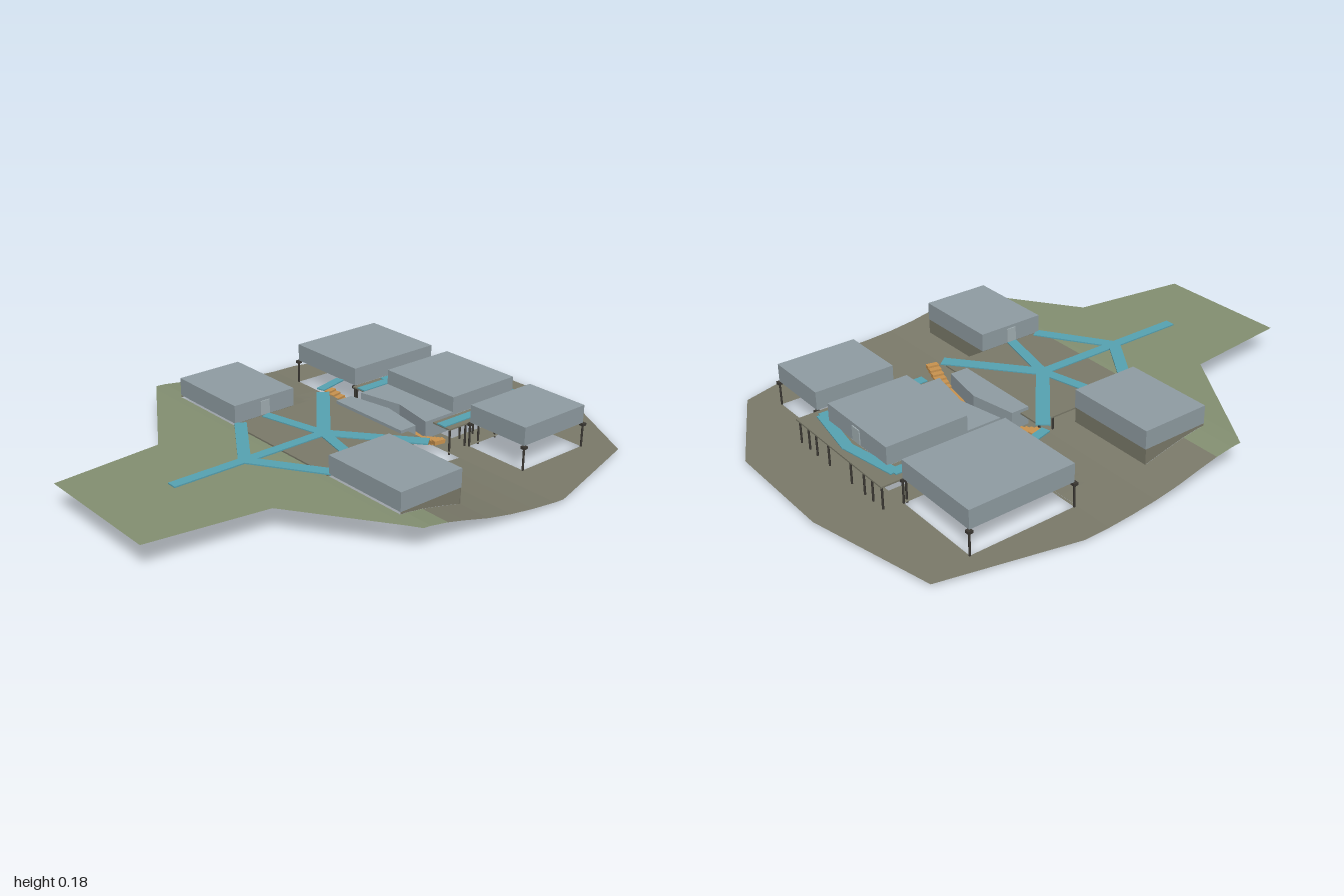
import * as THREE from 'three';

const mat = (name, color) => {
  const m = new THREE.MeshStandardMaterial({ color, side: THREE.DoubleSide });
  m.name = name;
  return m;
};

export function createModel() {
  const model = new THREE.Group();
  model.name = 'hillsideCampus';
  const M = {
    grass: mat('grass', 0x849072),
    earth: mat('earth', 0x7b7a6a),
    roof: mat('building grey', 0x909da3),
    path: mat('path teal', 0x57a3b3),
    stair: mat('stair orange', 0xc9934f),
    post: mat('post dark', 0x3b3833),
    door: mat('door grey', 0xa3b0b4),
  };
  const add = (name, geo, m, parent = model) => {
    const mesh = new THREE.Mesh(geo, m);
    mesh.name = name;
    parent.add(mesh);
    return mesh;
  };
  const group = (name) => {
    const g = new THREE.Group();
    g.name = name;
    model.add(g);
    return g;
  };
  // box given by its min and max on each axis
  const box = (name, x0, x1, y0, y1, z0, z1, m, parent) =>
    add(name, new THREE.BoxGeometry(x1 - x0, y1 - y0, z1 - z0), m, parent)
      .position.set((x0 + x1) / 2, (y0 + y1) / 2, (z0 + z1) / 2);
  // horizontal slab from [x, z] points, with optional rectangular hole
  const slab = (name, pts, y0, y1, m, hole) => {
    const v = (p) => new THREE.Vector2(p[0], -p[1]);
    const s = new THREE.Shape(pts.map(v));
    if (hole) s.holes.push(new THREE.Path(hole.map(v)));
    const g = new THREE.ExtrudeGeometry(s, { depth: y1 - y0, bevelEnabled: false });
    g.rotateX(-Math.PI / 2).translate(0, y0, 0);
    return add(name, g, m);
  };
  const rect = (x0, x1, z0, z1) => [[x0, z0], [x1, z0], [x1, z1], [x0, z1]];
  const lerpTable = (t, z) => {
    if (z <= t[0][0]) return t[0][1];
    for (let i = 1; i < t.length; i++) {
      const [a, p] = t[i - 1], [b, q] = t[i];
      if (z <= b) return p + (q - p) * (z - a) / (b - a);
    }
    return t[t.length - 1][1];
  };

  // ground: outline edges as [z, x], slope as [z, y]
  const west = [[-1, -0.18], [-0.89, -0.665], [-0.4, -0.78], [0.28, -0.78], [0.57, -0.31], [1, -0.27]];
  const east = [[-1, 0.27], [-0.8, 0.64], [-0.34, 0.775], [0.27, 0.73], [0.55, 0.33], [1, 0.265]];
  const slope = [[-0.4, 0.012], [-0.3, 0.013], [-0.2, 0.02], [-0.1, 0.031], [0, 0.048],
    [0.1, 0.072], [0.17, 0.087], [0.24, 0.097], [0.3, 0.1], [1, 0.102]];
  const height = (x, z) => lerpTable(slope, z)
    - 0.009 * Math.exp(-(((x + 0.39) / 0.07) ** 2) - ((z + 0.26) / 0.1) ** 2);
  // openings under the buildings and the stair court: x0, x1, z0, z1
  const holes = [
    [-0.625, -0.27, -0.72, -0.31], [0.27, 0.535, -0.715, -0.4], [-0.18, 0.18, -0.72, -0.4],
    [-0.32, 0.32, -0.3, -0.18], [-0.625, -0.27, 0, 0.265], [0.265, 0.62, 0, 0.265],
  ];
  const rows = [...new Set([...west, ...east, ...slope].map((p) => p[0])
    .concat(holes.flatMap((h) => [h[2], h[3]]), [-0.25, -0.15]))].sort((a, b) => a - b);
  const ground = (name, zMin, zMax, m) => {
    const pos = [];
    const P = (x, z) => [x, height(x, z), z];
    for (let i = 1; i < rows.length; i++) {
      const a = rows[i - 1], b = rows[i], mid = (a + b) / 2;
      if (mid < zMin || mid > zMax) continue;
      const cuts = holes.filter((h) => mid > h[2] && mid < h[3]).sort((p, q) => p[0] - q[0]);
      // solid spans between openings, as [x at a, x at b] pairs
      const ends = [[lerpTable(west, a), lerpTable(west, b)],
        ...cuts.flatMap((h) => [[h[0], h[0]], [h[1], h[1]]]),
        [lerpTable(east, a), lerpTable(east, b)]];
      for (let k = 0; k < ends.length; k += 2) {
        const [l, r] = [ends[k], ends[k + 1]], n = 10;
        const at = (j, e) => l[e] + (r[e] - l[e]) * j / n;
        for (let j = 0; j < n; j++) {
          const p = P(at(j, 0), a), q = P(at(j + 1, 0), a);
          const s = P(at(j, 1), b), t = P(at(j + 1, 1), b);
          pos.push(...p, ...s, ...q, ...q, ...s, ...t);
        }
      }
    }
    const g = new THREE.BufferGeometry();
    g.setAttribute('position', new THREE.Float32BufferAttribute(pos, 3));
    g.computeVertexNormals();
    add(name, g, m);
  };
  ground('lowerGround', -1, 0.17, M.earth);
  ground('upperGround', 0.17, 1, M.grass);

  // five main buildings
  const blocks = group('buildings');
  [[-0.625, -0.27, -0.72, -0.31], [0.27, 0.535, -0.715, -0.4], [-0.18, 0.18, -0.72, -0.4],
    [-0.625, -0.27, -0.005, 0.265], [0.265, 0.62, -0.005, 0.265]].forEach(([x0, x1, z0, z1]) =>
    box('building', x0, x1, 0.107, 0.177, z0, z1, M.roof, blocks));

  // foundation walls following the slope below the front buildings
  const walls = group('foundationWalls');
  const profile = [[0.265, 0.107], [0, 0.107],
    ...[0, 0.1, 0.17, 0.24, 0.265].map((z) => [z, lerpTable(slope, z)])];
  const sideGeo = new THREE.ShapeGeometry(new THREE.Shape(profile.map((p) => new THREE.Vector2(...p))));
  sideGeo.rotateY(-Math.PI / 2);
  [[-0.625, -0.27], [0.265, 0.62]].forEach(([x0, x1]) => {
    [x0 + 0.001, x1 - 0.001].forEach((x) => { add('sideWall', sideGeo, M.earth, walls).position.x = x; });
    box('backWall', x0, x1, 0.046, 0.107, -0.003, 0, M.earth, walls);
  });

  // raised plaza and rear deck
  slab('plaza', rect(-0.27, 0.265, -0.175, 0.27), 0.1, 0.106, M.earth,
    rect(-0.18, 0.18, -0.175 + 0.001, -0.14));
  slab('rearDeck', rect(-0.27, 0.265, -0.8, -0.3), 0.1, 0.106, M.earth,
    rect(-0.18, 0.18, -0.72, -0.301));

  // low hall split by a bent passage
  slab('hallBack', [[-0.18, -0.4], [0.18, -0.4], [0.18, -0.262], [0, -0.298], [-0.18, -0.262]], 0.05, 0.118, M.roof);
  slab('hallFront', [[-0.18, -0.212], [0, -0.244], [0.18, -0.212], [0.18, -0.14], [-0.18, -0.14]], 0.05, 0.118, M.roof);
  slab('passageBase', rect(-0.18, 0.18, -0.3, -0.2), 0.05, 0.054, M.roof);

  // passage floor and stairs rising to both ends
  const stairs = group('stairs');
  const bend = Math.atan2(0.06, 0.31);
  [-1, 1].forEach((s) => {
    const arm = new THREE.Group();
    arm.name = 'stairArm';
    arm.position.set(0, 0, -0.268);
    arm.rotation.y = s > 0 ? -bend : Math.PI + bend;
    stairs.add(arm);
    box('passageFloor', 0, 0.19, 0.054, 0.06, -0.022, 0.022, M.stair, arm);
    for (let i = 0; i < 6; i++) {
      const x = 0.185 + i * 0.022, y = 0.067 + i * 0.0078;
      box('step', x, x + 0.022, y - 0.015, y, -0.022, 0.022, M.stair, arm);
    }
  });

  // teal walkways
  const paths = group('walkways');
  const walk = (w, ...pts) => {
    for (let i = 1; i < pts.length; i++) {
      const [x0, z0] = pts[i - 1], [x1, z1] = pts[i];
      const strip = add('walkway', new THREE.BoxGeometry(Math.hypot(x1 - x0, z1 - z0) + 0.012, 0.005, w), M.path, paths);
      strip.position.set((x0 + x1) / 2, 0.1075, (z0 + z1) / 2);
      strip.rotation.y = -Math.atan2(z1 - z0, x1 - x0);
    }
  };
  walk(0.04, [0, 0.71], [0, 0.07]);
  [-1, 1].forEach((s) => {
    walk(0.045, [0, 0.42], [s * 0.258, 0.25]);
    walk(0.04, [0, 0.07], [s * 0.258, 0.13]);
    walk(0.05, [0, 0.07], [s * 0.29, -0.165]);
    walk(0.04, [s * 0.222, -0.305], [s * 0.222, -0.72], [0, -0.758]);
    walk(0.022, [s * 0.25, -0.44], [s * 0.25, -0.55]);
  });
  walk(0.035, [-0.325, -0.185], [-0.355, -0.3]);

  // doors where the walkways meet the buildings
  const doors = group('doors');
  [-1, 1].forEach((s) => {
    const x = s < 0 ? -0.268 : 0.263;
    box('sideDoor', x - 0.002, x + 0.002, 0.11, 0.165, 0.11, 0.15, M.door, doors);
  });
  box('rearDoor', -0.022, 0.022, 0.11, 0.165, -0.724, -0.72, M.door, doors);

  // posts under the decks and at the corners of the rear buildings
  const posts = group('posts');
  const post = (x, z, base = 0) => {
    const g = new THREE.CylinderGeometry(0.004, 0.004, 0.104 - base, 8);
    add('post', g, M.post, posts).position.set(x, (0.104 + base) / 2, z);
  };
  [-1, 1].forEach((s) => {
    [-0.79, -0.7, -0.62, -0.55, -0.46, -0.39, -0.31].forEach((z) => post(s * 0.257, z));
    [0.07, 0.15, 0.2].forEach((x) => post(s * x, -0.79));
    [-0.49, -0.42].forEach((z) => post(s * 0.2, z));
    [-0.14, -0.08].forEach((z) => [0.07, 0.24].forEach((x) => post(s * x, z, 0.015)));
  });
  [[-0.625, -0.27, -0.72, -0.31], [0.27, 0.535, -0.715, -0.4]].forEach(([x0, x1, z0, z1]) =>
    [x0, x1].forEach((x) => [z0, z1].forEach((z) => {
      post(x, z);
      box('postCap', x - 0.009, x + 0.009, 0.096, 0.106, z - 0.009, z + 0.009, M.post, posts);
    })));

  return model;
}
